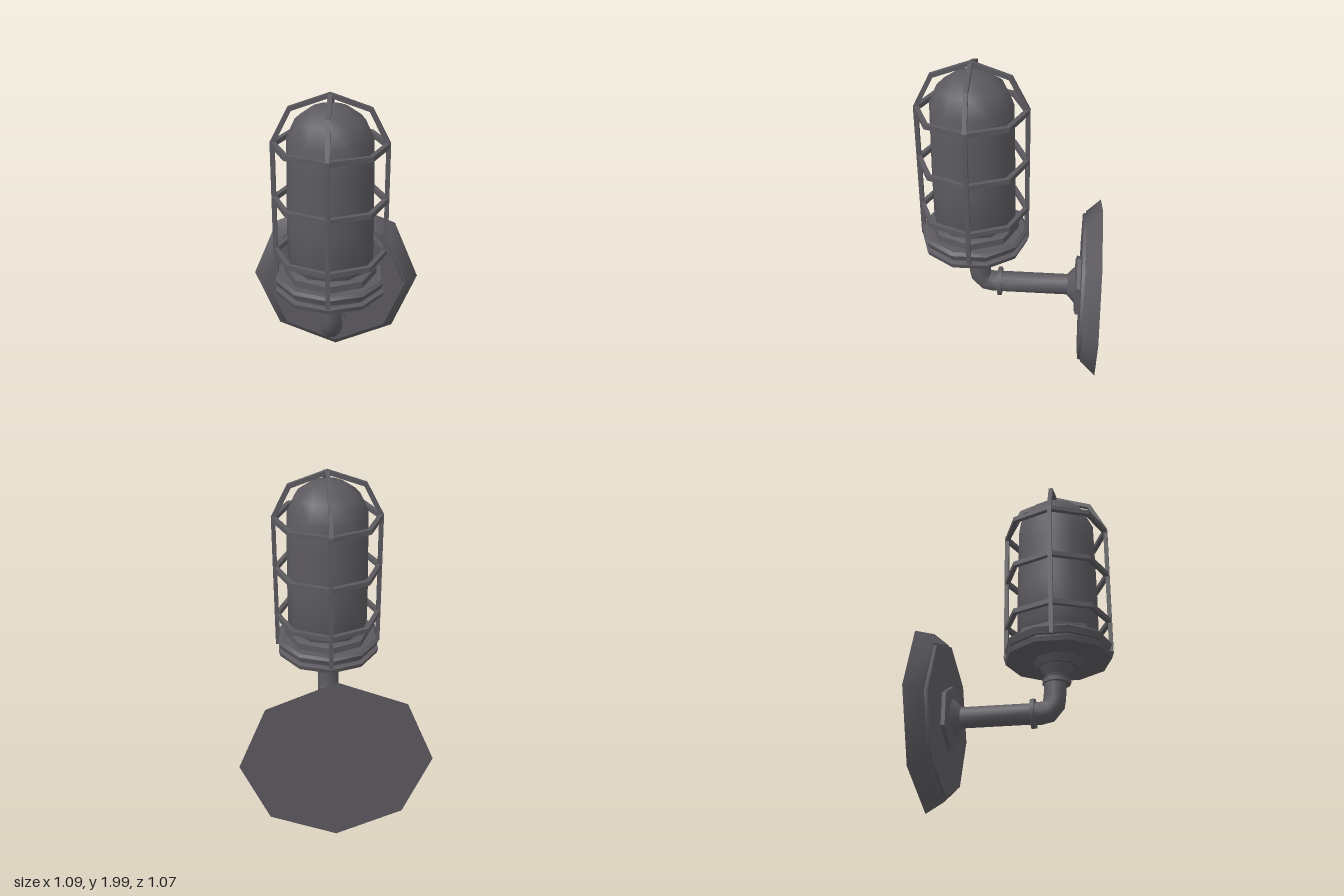
import * as THREE from 'three';
import { toCreasedNormals } from 'three/addons/utils/BufferGeometryUtils.js';

const metal = new THREE.MeshStandardMaterial({ color: 0x5c5a5f });
metal.name = 'dark grey metal';

const LAMP_Z = 0.212; // axis of the upright lamp
const WALL_Y = 0.555; // axis of the wall mount

export function createModel() {
  const model = new THREE.Group();
  model.name = 'cagedWallLamp';

  const add = (parent, name, geometry, crease = 0.7) => {
    const mesh = new THREE.Mesh(toCreasedNormals(geometry, crease), metal);
    mesh.name = name;
    parent.add(mesh);
    return mesh;
  };
  // Turned part from [radius, height] pairs, listed from bottom to top
  const turned = (parent, name, profile, sides, crease) =>
    add(parent, name, new THREE.LatheGeometry(profile.map(([r, y]) => new THREE.Vector2(r, y)), sides), crease);

  // Wall mount, turned about an axis pointing to the front
  const mount = new THREE.Group();
  mount.name = 'wallMount';
  mount.position.y = WALL_Y;
  mount.rotation.x = Math.PI / 2;
  model.add(mount);
  turned(mount, 'wallPlate', [[0, -0.537], [0.545, -0.537], [0.465, -0.447], [0, -0.447]], 8, 0.8);
  turned(mount, 'plateFace', [[0, -0.447], [0.455, -0.447], [0.45, -0.428], [0, -0.428]], 8, 0.8);
  turned(mount, 'hexFlange', [[0, -0.43], [0.195, -0.43], [0.195, -0.405], [0.17, -0.395], [0, -0.395]], 6);
  turned(mount, 'flangeCone', [[0, -0.4], [0.115, -0.397], [0.065, -0.35], [0, -0.35]], 10);
  turned(mount, 'arm', [[0.063, -0.36], [0.063, 0.07]], 10);
  turned(mount, 'armCollar', [[0, 0.052], [0.088, 0.052], [0.088, 0.077], [0, 0.077]], 10);

  // Elbow from the arm up to the lamp
  const bend = new THREE.CubicBezierCurve3(
    new THREE.Vector3(0, WALL_Y, 0.06), new THREE.Vector3(0, WALL_Y, 0.18),
    new THREE.Vector3(0, WALL_Y, 0.19), new THREE.Vector3(0, 0.74, 0.19));
  add(model, 'elbow', new THREE.TubeGeometry(bend, 6, 0.065, 10), 0.8);

  // Lamp, turned about an upright axis
  const lamp = new THREE.Group();
  lamp.name = 'lamp';
  lamp.position.z = LAMP_Z;
  model.add(lamp);
  const collar = turned(lamp, 'elbowCollar', [[0, 0.725], [0.083, 0.725], [0.083, 0.75], [0, 0.75]], 10);
  const neck = turned(lamp, 'neck', [[0.06, 0.75], [0.065, 0.775], [0.1, 0.82], [0.1, 0.83]], 10);
  collar.position.z = neck.position.z = -0.012;
  turned(lamp, 'neckFlange', [[0, 0.822], [0.125, 0.822], [0.15, 0.865], [0, 0.865]], 8);
  turned(lamp, 'baseDisc', [[0, 0.865], [0.31, 0.865], [0.318, 0.892], [0.29, 0.9],
    [0.29, 0.912], [0.305, 0.915], [0.318, 0.95], [0.3, 0.965], [0, 0.97]], 10);
  turned(lamp, 'gasket', [[0, 0.965], [0.262, 0.965], [0.262, 1.005], [0.23, 1.02], [0, 1.02]], 8);
  turned(lamp, 'globe', [[0.215, 1.0], [0.24, 1.05], [0.24, 1.3], [0.235, 1.6], [0.232, 1.76],
    [0.185, 1.86], [0.1, 1.92], [0, 1.942]], 12, 1.0);

  // Cage: three octagonal hoops
  const hoop = [[0.292, -0.014], [0.32, -0.014], [0.32, 0.014], [0.292, 0.014], [0.292, -0.014]];
  for (const y of [1.1, 1.41, 1.72]) turned(lamp, 'cageHoop', hoop, 8, 0.3).position.y = y;

  // Cage: two crossing arches
  const outer = [[0.32, 0.9], [0.32, 1.73], [0.222, 1.922], [0, 2.0]];
  const inner = [[0, 1.974], [0.204, 1.902], [0.295, 1.722], [0.295, 0.9]];
  const mirror = (points) => points.map(([x, y]) => [-x, y]).reverse();
  const outline = [...outer, ...mirror(outer).slice(1), ...mirror(inner), ...inner.slice(1)];
  const arch = new THREE.Shape(outline.map(([x, y]) => new THREE.Vector2(x, y)));
  for (const turn of [0, Math.PI / 2]) {
    const geometry = new THREE.ExtrudeGeometry(arch, { depth: 0.024, bevelEnabled: false });
    geometry.translate(0, 0, -0.012);
    add(lamp, 'cageArch', geometry, 0.3).rotation.y = turn;
  }
  return model;
}
